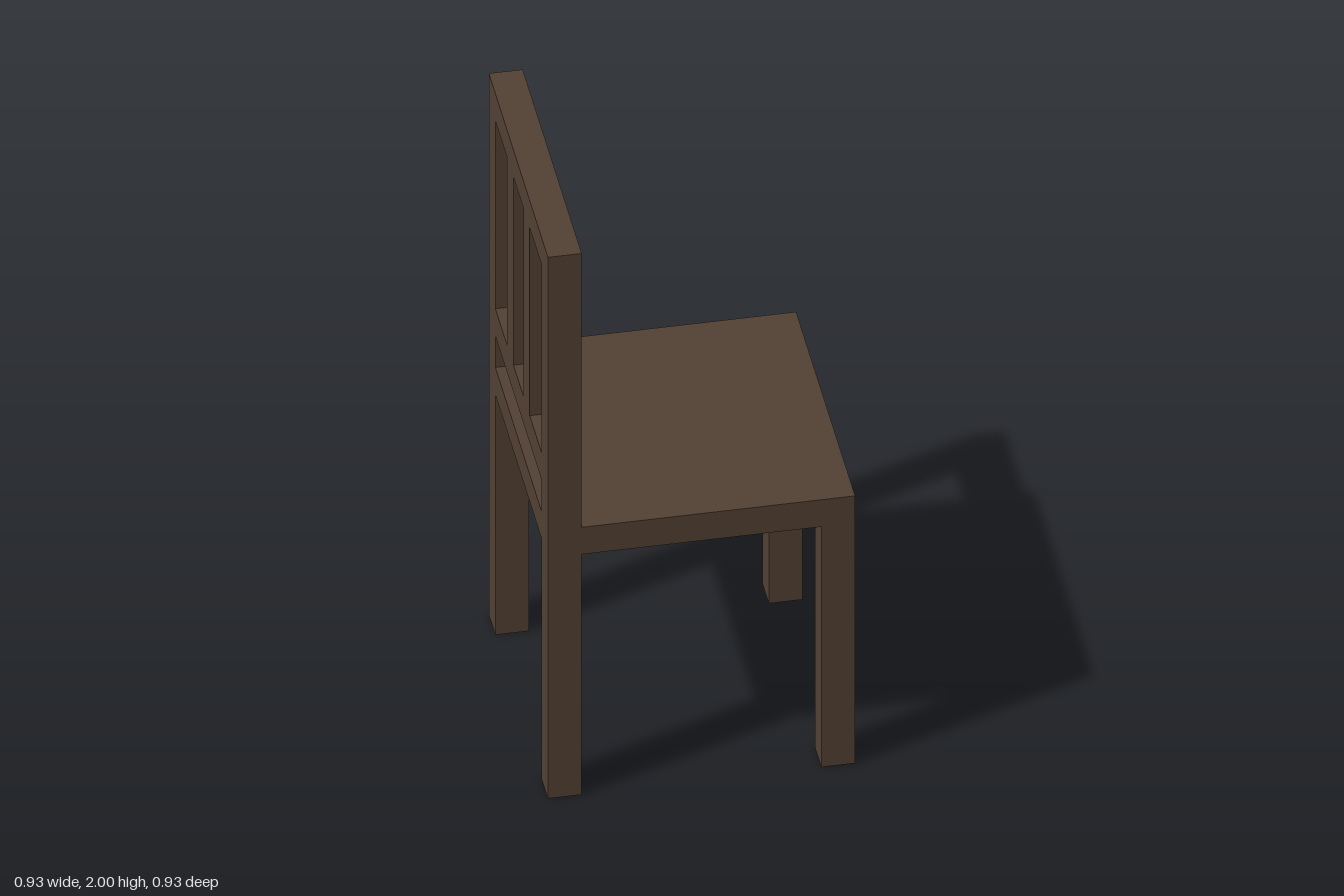
import * as THREE from 'three';

export function createModel() {
  const group = new THREE.Group();
  group.name = 'chair';
  const wood = new THREE.MeshStandardMaterial({ color: 0x534134 });
  wood.name = 'dark brown wood';

  const half = 0.463;         // half the seat width
  const bar = 0.102;          // thickness of every bar
  const edge = half - bar / 2; // centre line of legs and posts
  const seatBottom = 0.888, seatTop = 0.988;

  // Box spanning y0..y1, centred on x and z
  function addBar(name, x, z, y0, y1, width, depth) {
    const mesh = new THREE.Mesh(new THREE.BoxGeometry(width, y1 - y0, depth), wood);
    mesh.name = name;
    mesh.position.set(x, (y0 + y1) / 2, z);
    group.add(mesh);
  }

  addBar('seat', 0, 0, seatBottom, seatTop, half * 2, half * 2);

  // Backrest rails between the posts
  const railLength = 2 * (half - bar);
  addBar('topRail', -edge, 0, 1.9, 2, bar, railLength);
  addBar('lowerRail', -edge, 0, 1.105, 1.205, bar, railLength);

  // Legs, backrest posts and slats, mirrored on both sides
  for (const side of [1, -1]) {
    addBar('frontLeg', edge, side * edge, 0, seatBottom, bar, bar);
    addBar('backLeg', -edge, side * edge, 0, seatBottom, bar, bar);
    addBar('backPost', -edge, side * edge, seatTop, 2, bar, bar);
    addBar('backSlat', -edge, side * 0.127, 1.205, 1.9, bar, 0.1);
  }
  return group;
}
